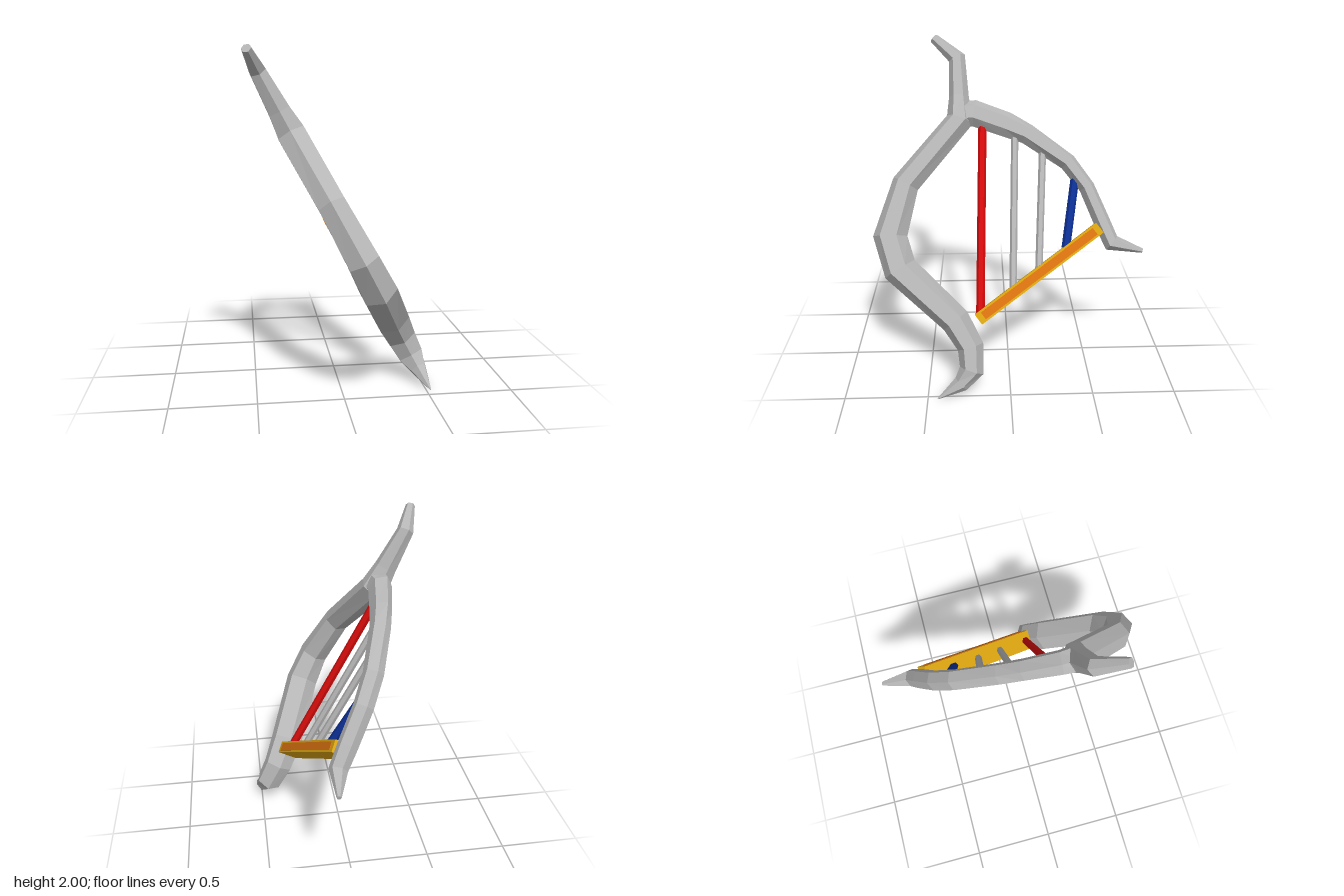
import * as THREE from 'three';

const TILT = 0.488;
// place a point of the leaning plane: depth z, height y, offset n across the plane
const P = (z, y, n = 0) => new THREE.Vector3(n, (y - 1) / Math.cos(TILT), z);

const mat = (name, color, flatShading = true) => {
  const m = new THREE.MeshStandardMaterial({ color });
  m.name = name;
  m.flatShading = flatShading;
  return m;
};

// faceted limb: stations are [z, y, half width in plane, half thickness]
function limb(stations) {
  const pts = stations.map(s => P(s[0], s[1]));
  const hex = [[1, 0], [0.45, 1], [-0.5, 1], [-1, 0], [-0.5, -1], [0.45, -1]];
  const rings = stations.map((s, i) => {
    const c = pts[i];
    const t = new THREE.Vector3();
    if (i > 0) t.add(c.clone().sub(pts[i - 1]).normalize());
    if (i < pts.length - 1) t.add(pts[i + 1].clone().sub(c).normalize());
    t.normalize();
    return hex.map(([a, b]) => [b * s[3], c.y - t.z * a * s[2], c.z + t.y * a * s[2]]);
  });
  const pos = [];
  const tri = (a, b, c) => pos.push(...a, ...b, ...c);
  for (let i = 0; i < rings.length - 1; i++) {
    for (let j = 0; j < 6; j++) {
      const k = (j + 1) % 6, a = rings[i], b = rings[i + 1];
      tri(a[j], a[k], b[k]);
      tri(a[j], b[k], b[j]);
    }
  }
  // end caps
  const first = rings[0], last = rings[rings.length - 1];
  for (let j = 1; j < 5; j++) {
    tri(first[0], first[j + 1], first[j]);
    tri(last[0], last[j], last[j + 1]);
  }
  const g = new THREE.BufferGeometry();
  g.setAttribute('position', new THREE.Float32BufferAttribute(pos, 3));
  g.computeVertexNormals();
  return g;
}

export function createModel() {
  const model = new THREE.Group();
  model.name = 'harp';
  const harp = new THREE.Group();
  harp.name = 'leaningHarp';
  harp.position.y = 1;
  harp.rotation.z = TILT;
  model.add(harp);

  const grey = mat('stoneGrey', 0xb6b6b6);
  const red = mat('red', 0xd60c0c);
  const blue = mat('blue', 0x0c3096);
  const yellow = mat('yellow', 0xdca510);
  const orange = mat('orange', 0xd9720f);

  const add = (name, geometry, material) => {
    const m = new THREE.Mesh(geometry, material);
    m.name = name;
    harp.add(m);
    return m;
  };
  // align a mesh's y axis from a to b
  const span = (mesh, a, b) => {
    mesh.position.copy(a).add(b).multiplyScalar(0.5);
    mesh.quaternion.setFromUnitVectors(new THREE.Vector3(0, 1, 0), b.clone().sub(a).normalize());
    return mesh;
  };

  // horn, bowed column and curled tail in one run
  add('column', limb([
    [0.45, 1.985, 0.03, 0.025], [0.305, 1.87, 0.055, 0.045], [0.295, 1.65, 0.062, 0.062],
    [0.29, 1.52, 0.085, 0.08], [0.63, 1.165, 0.085, 0.075], [0.725, 0.88, 0.105, 0.085],
    [0.665, 0.7, 0.105, 0.095], [0.33, 0.42, 0.09, 0.095], [0.24, 0.28, 0.08, 0.085],
    [0.235, 0.155, 0.075, 0.075], [0.30, 0.085, 0.05, 0.045], [0.44, 0.01, 0.004, 0.004],
  ]), grey);

  // arched neck ending in a rear spike
  add('neck', limb([
    [0.29, 1.55, 0.08, 0.07], [0.2, 1.555, 0.085, 0.062], [0, 1.49, 0.08, 0.055],
    [-0.13, 1.435, 0.065, 0.055], [-0.38, 1.275, 0.055, 0.055], [-0.495, 1.135, 0.05, 0.055],
    [-0.58, 0.95, 0.052, 0.055], [-0.64, 0.825, 0.055, 0.05], [-0.83, 0.78, 0.014, 0.012],
  ]), grey);

  // string bar with orange side panels
  const a = P(0.19, 0.425), b = P(-0.56, 0.905), len = a.distanceTo(b);
  const bar = add('stringBar', new THREE.BoxGeometry(0.13, len, 0.075), yellow);
  span(bar, a, b);
  for (const side of [1, -1]) {
    const panel = new THREE.Mesh(new THREE.BoxGeometry(0.006, len * 0.92, 0.05), orange);
    panel.name = 'barPanel';
    panel.position.x = side * 0.065;
    bar.add(panel);
  }

  // strings: z and y at the top, z and y at the foot, radius
  const strings = [
    ['redString', 0.15, 1.48, 0.178, 0.45, 0.026, red],
    ['frontGreyString', -0.052, 1.44, -0.024, 0.57, 0.023, grey],
    ['rearGreyString', -0.225, 1.36, -0.185, 0.68, 0.023, grey],
    ['blueString', -0.425, 1.2, -0.355, 0.8, 0.027, blue],
  ];
  for (const [name, z0, y0, z1, y1, r, material] of strings) {
    const top = P(z0, y0), foot = P(z1, y1);
    span(add(name, new THREE.CylinderGeometry(r, r, top.distanceTo(foot), 6), material), foot, top);
  }
  return model;
}
